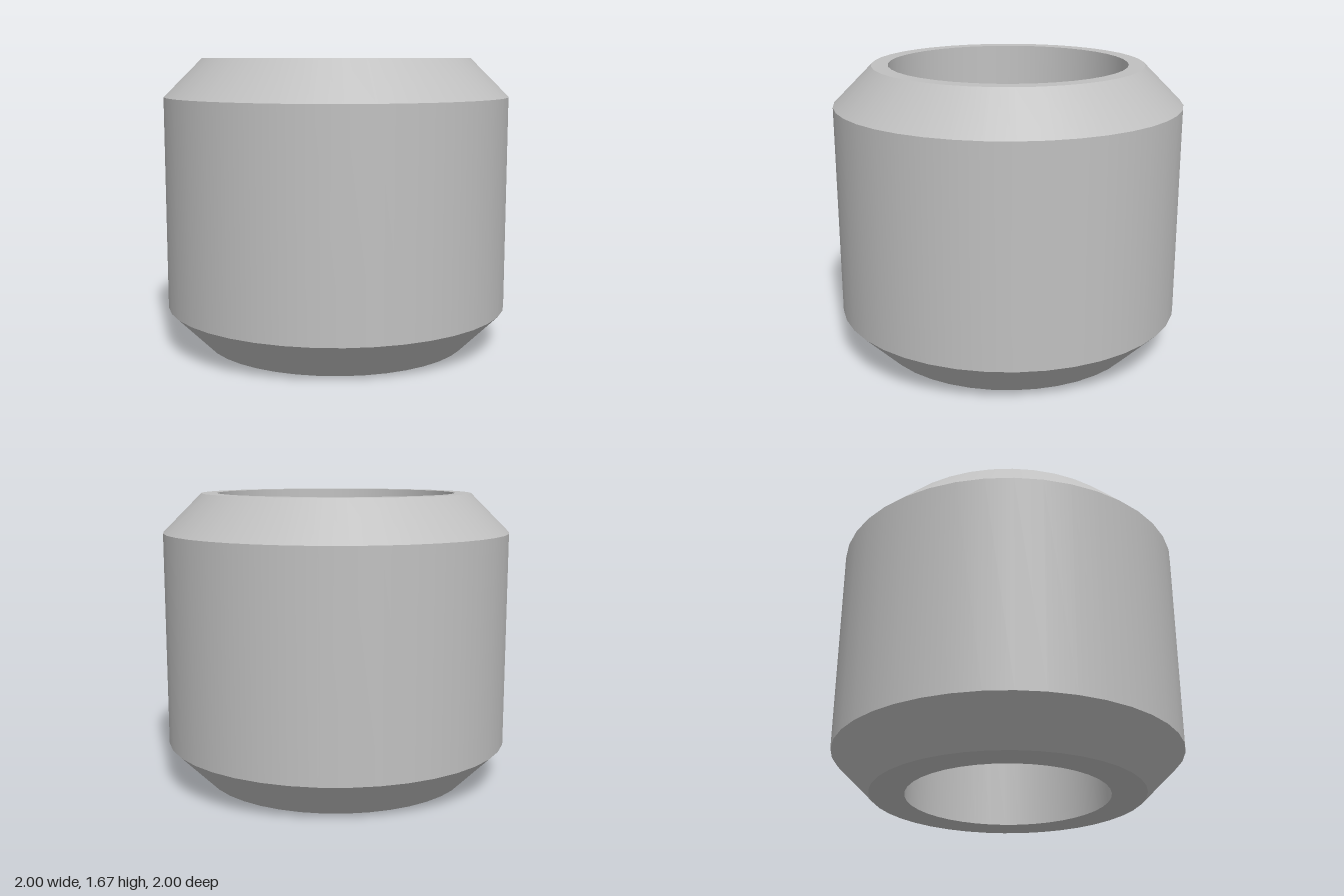
import * as THREE from 'three';

const SIDES = 40;

export function createModel() {
  const group = new THREE.Group();
  group.name = 'chamferedBushing';
  const steel = new THREE.MeshStandardMaterial({ color: 0xc0c0c0 });
  steel.name = 'plain grey';

  // Closed section [radius, y], counterclockwise; each stretch becomes one named surface
  const section = [
    ['lowerChamfer', 0.778, 0],
    ['outerWall', 1, 0.222],
    ['upperChamfer', 1, 1.447],
    ['topRim', 0.778, 1.669],
    ['upperBore', 0.685, 1.669],
    ['webTop', 0.685, 1.0],
    ['centreHole', 0.223, 1.0],
    ['webUnderside', 0.223, 0.78],
    ['lowerBore', 0.58, 0.78],
    ['bottomRim', 0.58, 0],
  ];

  // Separate lathes keep the edges sharp while the round walls stay smooth
  section.forEach(([name, r, y], i) => {
    const [, r2, y2] = section[(i + 1) % section.length];
    const profile = [new THREE.Vector2(r, y), new THREE.Vector2(r2, y2)];
    const mesh = new THREE.Mesh(new THREE.LatheGeometry(profile, SIDES), steel);
    mesh.name = name;
    group.add(mesh);
  });

  return group;
}
